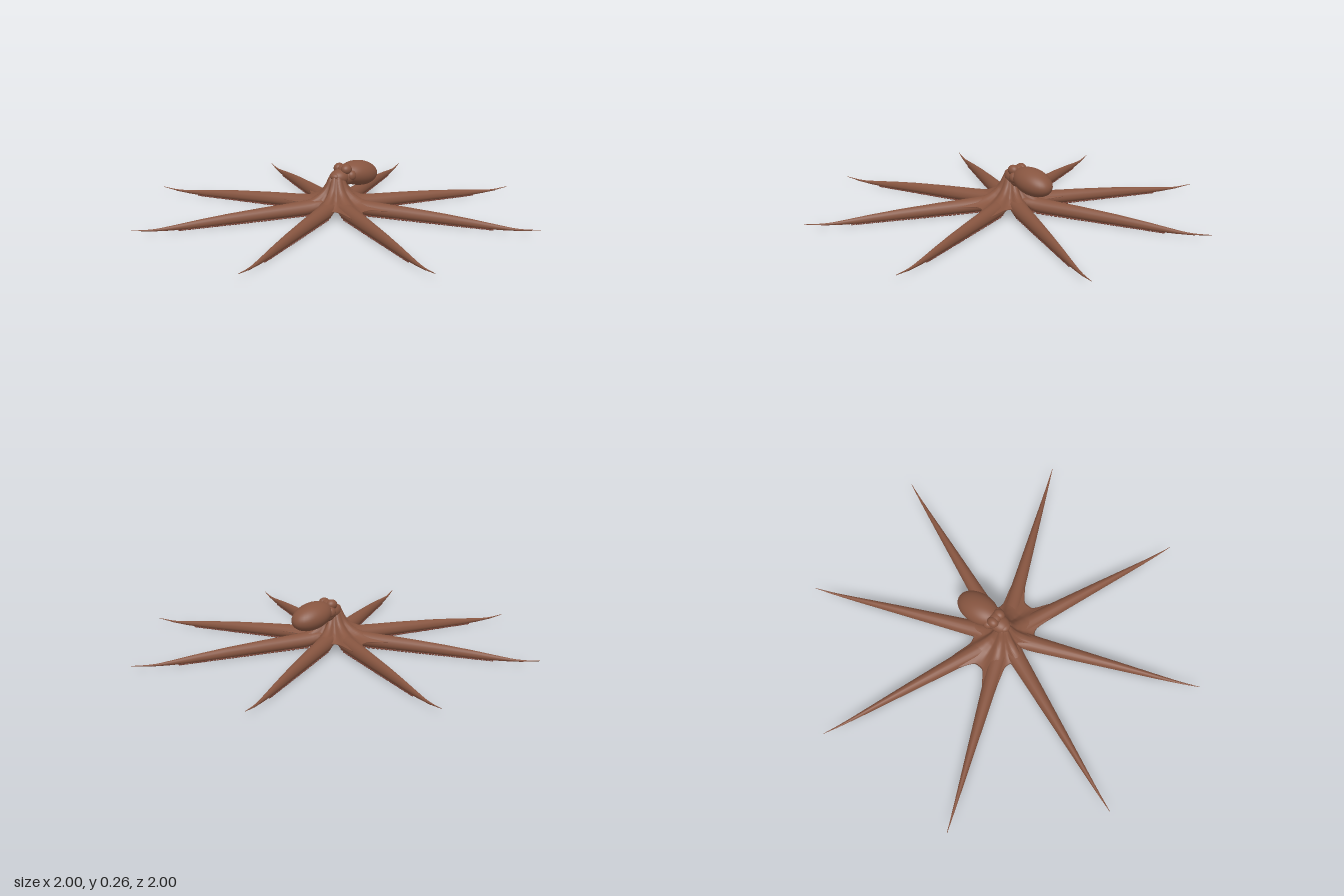
import * as THREE from 'three';
import { mergeGeometries } from 'three/addons/utils/BufferGeometryUtils.js';

// Linear look-up in a table of [distance, value] pairs
function sample(table, r) {
  for (let i = 1; i < table.length; i++) {
    const [r0, v0] = table[i - 1], [r1, v1] = table[i];
    if (r <= r1) return v0 + (v1 - v0) * Math.max(0, (r - r0) / (r1 - r0));
  }
  return table[table.length - 1][1];
}

// Smooth skin through closed rings; point(u, angle) returns [x, y, z]
function skin(rows, cols, point) {
  const pos = [], idx = [];
  for (let i = 0; i <= rows; i++) {
    for (let j = 0; j < cols; j++) {
      pos.push(...point(i / rows, (j / cols) * Math.PI * 2));
      if (i === rows) continue;
      const a = i * cols + j, b = i * cols + (j + 1) % cols;
      idx.push(a, b, a + cols, b, b + cols, a + cols);
    }
  }
  const g = new THREE.BufferGeometry();
  g.setAttribute('position', new THREE.Float32BufferAttribute(pos, 3));
  g.setIndex(idx);
  g.computeVertexNormals();
  return g;
}

const LENGTH = 1.082;
const ARM_TOP = [[0.02, 0.08], [0.12, 0.084], [0.22, 0.077], [0.4, 0.069], [0.6, 0.057], [0.75, 0.044],
  [0.87, 0.031], [0.95, 0.023], [1.0, 0.023], [LENGTH, 0.03]];
const ARM_BOTTOM = [[0.02, 0.06], [0.07, 0.057], [0.1, 0.042], [0.13, 0.018], [0.17, 0.008], [0.8, 0.006],
  [0.9, 0.009], [1.0, 0.016], [LENGTH, 0.028]];
const NECK = [[0, 0.212], [0.03, 0.205], [0.043, 0.19], [0.056, 0.16], [0.07, 0.135],
  [0.1, 0.108], [0.14, 0.088], [0.2, 0.075], [0.4, 0.06]];
const armWidth = r => Math.min(0.052 * (1 - r / 1.1), 0.012 + r * 0.36);

// One arm along +z: rounded back, narrower flat underside
function armGeometry() {
  return skin(44, 20, (u, a) => {
    const r = 0.02 + u * (LENGTH - 0.02);
    const top = sample(ARM_TOP, r), bottom = sample(ARM_BOTTOM, r);
    const mid = bottom + (top - bottom) * 0.4;
    const c = Math.cos(a), s = Math.sin(a);
    const y = s > 0 ? mid + (top - mid) * s : mid - (mid - bottom) * Math.min(1, -s * 1.2);
    return [armWidth(r) * c, y, r];
  });
}

// Thin strip of darker skin that carries the suckers
function padGeometry() {
  return skin(40, 10, (u, a) => {
    const r = 0.05 + u * 0.95;
    return [armWidth(r) * 0.7 * Math.cos(a), sample(ARM_BOTTOM, r) + 0.002 * Math.sin(a), r];
  });
}

// Two rows of cups beneath one arm, shrinking towards the tip
function suckerGeometry() {
  const cup = new THREE.LatheGeometry([[0, 0.35], [0.5, 0], [0.85, 0], [1, 0.3], [0.7, 1]]
    .map(([x, y]) => new THREE.Vector2(x, y)), 9);
  const cups = [];
  for (let r = 0.07; r < 0.85;) {
    const size = armWidth(r) * 0.28;
    for (const side of [-1, 1]) {
      const y = Math.max(0, sample(ARM_BOTTOM, r) - 0.007);
      cups.push(cup.clone().scale(size, 0.013, size).translate(side * armWidth(r) * 0.42, y, r));
    }
    r += size * 2.1;
  }
  return mergeGeometries(cups);
}

// Neck flaring into a scalloped web with ridges towards the arms, closed underneath
function webGeometry() {
  const rows = 55, cols = 128, topRows = 33;
  const g = skin(rows, cols, (u, a) => {
    const split = topRows / rows, under = u > split + 1e-6;
    const t = under ? (1 - u) / (1 - split) : u / split;
    const ridge = Math.abs(Math.sin(4 * a));
    const valley = 0.17 - 0.05 * Math.cos(2 * a);
    const edge = valley + (0.37 - valley) * ridge ** 4;
    const r = t * edge;
    const groove = 0.014 * (1 - ridge) * Math.sin(Math.PI * t);
    const y = under ? 0.062 - 0.019 * t * t
      : THREE.MathUtils.lerp(sample(NECK, r), 0.046, t ** 3) - groove;
    return [-r * Math.sin(a), y, r * Math.cos(a) - 0.006 * (1 - t)];
  });
  g.addGroup(0, topRows * cols * 6, 0);
  g.addGroup(topRows * cols * 6, (rows - topRows) * cols * 6, 1);
  return g;
}

export function createModel() {
  const model = new THREE.Group();
  const material = (name, color) => {
    const m = new THREE.MeshStandardMaterial({ color });
    m.name = name;
    return m;
  };
  const skinBrown = material('skin brown', 0x875540);
  const suckerRed = material('sucker red brown', 0x80483a);
  const webGrey = material('under web grey', 0x716863);

  const add = (name, geometry, mat = skinBrown, parent = model) => {
    const mesh = new THREE.Mesh(geometry, mat);
    mesh.name = name;
    parent.add(mesh);
    return mesh;
  };
  const ball = (name, [x, y, z], [rx, ry, rz], tilt = 0) => {
    const mesh = add(name, new THREE.SphereGeometry(1, 32, 24));
    mesh.position.set(x, y, z);
    mesh.scale.set(rx, ry, rz);
    mesh.rotation.x = tilt;
  };

  // Body
  add('neckAndWeb', webGeometry(), [skinBrown, webGrey]);
  ball('mantle', [0, 0.187, -0.172], [0.082, 0.068, 0.126], -0.16);
  ball('head', [0, 0.188, -0.03], [0.049, 0.042, 0.06]);
  ball('collar', [0, 0.185, -0.07], [0.058, 0.048, 0.042]);
  ball('brow', [0, 0.228, -0.055], [0.046, 0.024, 0.03]);
  for (const side of [-1, 1]) {
    const name = side > 0 ? 'left' : 'right';
    ball(name + 'Eye', [side * 0.027, 0.229, -0.052], [0.027, 0.027, 0.032]);
    ball(name + 'Gill', [side * 0.042, 0.195, -0.075], [0.025, 0.028, 0.028]);
  }
  ball('siphon', [0, 0.196, 0.006], [0.032, 0.021, 0.028]);

  // Eight arms, evenly spread
  const armShape = armGeometry(), padShape = padGeometry(), suckerShape = suckerGeometry();
  for (let i = 0; i < 8; i++) {
    const arm = new THREE.Group();
    arm.name = 'arm' + (i + 1);
    arm.rotation.y = (i + 0.5) * Math.PI / 4;
    add('armSkin', armShape, skinBrown, arm);
    add('armUnderside', padShape, suckerRed, arm);
    add('suckers', suckerShape, suckerRed, arm);
    model.add(arm);
  }
  return model;
}
